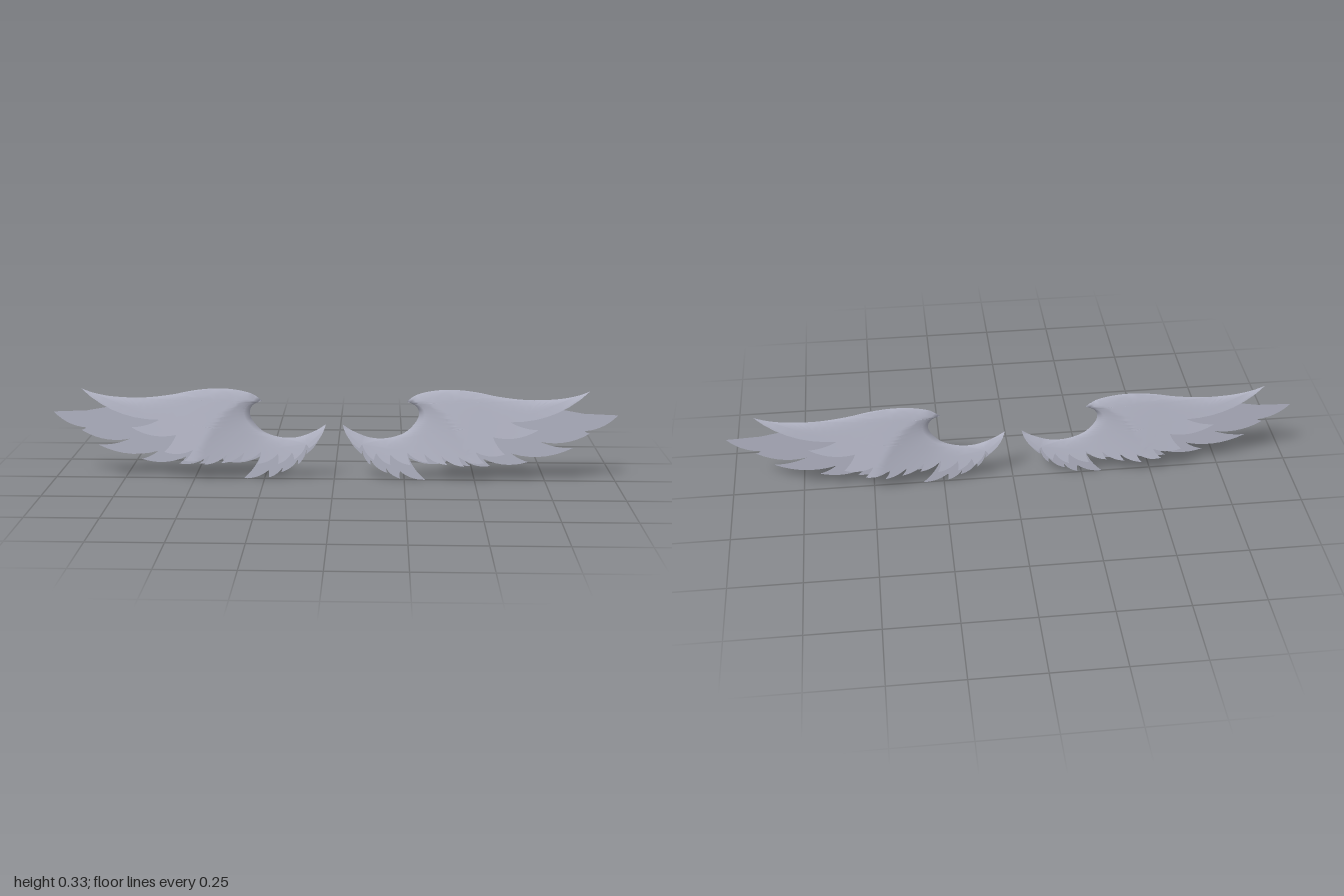
import * as THREE from 'three';
import { mergeVertices } from 'three/addons/utils/BufferGeometryUtils.js';

const V = (x, y) => new THREE.Vector2(x, y);
const spline = (pts, n) => new THREE.SplineCurve(pts.map(p => V(...p))).getPoints(n);

// Leading edge: root, concave hollow up to the hook, then over the top to the wing tip
const hollow = spline([[0.03, 0.205], [0.07, 0.18], [0.13, 0.158], [0.19, 0.157], [0.25, 0.177],
  [0.288, 0.215], [0.3, 0.248], [0.287, 0.275], [0.256, 0.289]], 36);
const crest = spline([[0.256, 0.289], [0.29, 0.314], [0.35, 0.329], [0.42, 0.333], [0.5, 0.325],
  [0.58, 0.309], [0.68, 0.298], [0.78, 0.301], [0.85, 0.313], [0.898, 0.33]], 36);
const leading = [...hollow, ...crest.slice(1)];

// Points alternate tip, notch, tip, notch ... from the wing tip to the root
const coverFeathers = [[0.898, 0.33], [0.62, 0.222], [0.72, 0.195], [0.56, 0.17], [0.602, 0.11],
  [0.5, 0.118], [0.53, 0.08], [0.44, 0.1], [0.46, 0.066], [0.38, 0.1], [0.4, 0.07], [0.32, 0.105],
  [0.335, 0.075], [0.26, 0.108], [0.272, 0.065], [0.2, 0.1], [0.2, 0.064], [0.15, 0.105],
  [0.142, 0.08], [0.1, 0.135], [0.09, 0.12], [0.03, 0.205]];
const flightFeathers = [[1, 0.245], [0.885, 0.187], [0.903, 0.178], [0.73, 0.147], [0.845, 0.125],
  [0.63, 0.103], [0.69, 0.073], [0.53, 0.083], [0.556, 0.057], [0.465, 0.075], [0.485, 0.057],
  [0.405, 0.082], [0.395, 0.068], [0.265, 0.085], [0.325, 0.004], [0.235, 0.035], [0.235, 0.008],
  [0.185, 0.045], [0.19, 0.028], [0.13, 0.075], [0.13, 0.057], [0.1, 0.11], [0.1, 0.095], [0.04, 0.195]];
// Upper border of the flight feathers, hidden between the covers
const hiddenEdge = [[0.07, 0.172], [0.13, 0.15], [0.2, 0.148], [0.27, 0.17], [0.4, 0.22],
  [0.6, 0.26], [0.78, 0.268], [0.88, 0.25]].map(p => V(...p));

// Curved feather edges: full below each tip, slightly hollow above it
function featherEdge(pts) {
  const out = [];
  for (let i = 0; i < pts.length - 1; i++) {
    const a = V(...pts[i]), b = V(...pts[i + 1]);
    const bow = i % 2 === 0 ? 0.2 : -0.12;
    const c = V((a.x + b.x) / 2 - (b.y - a.y) * bow, (a.y + b.y) / 2 + (b.x - a.x) * bow);
    out.push(...new THREE.QuadraticBezierCurve(a, c, b).getPoints(7).slice(1));
  }
  return out;
}

// Distance from a point to the leading edge
function distanceToLeading(p) {
  let best = Infinity;
  for (let i = 0; i < leading.length - 1; i++) {
    const a = leading[i], d = leading[i + 1].clone().sub(a);
    const t = THREE.MathUtils.clamp(p.clone().sub(a).dot(d) / d.lengthSq(), 0, 1);
    best = Math.min(best, p.distanceTo(a.clone().addScaledVector(d, t)));
  }
  return best;
}

// The covers flare away from the middle plane the further they are from the leading edge
function flare(p) {
  const d = distanceToLeading(p);
  return d < 1e-6 ? 0 : 0.19 * d + 0.006 * (1 - Math.exp(-d / 0.012));
}

// Fill an outline with triangles, halving every edge that is too long
function fillOutline(points, maxEdge) {
  const flat = new THREE.ShapeGeometry(new THREE.Shape(points));
  const pos = flat.attributes.position, index = flat.index.array;
  const stack = [], done = [];
  for (let i = 0; i < index.length; i += 3) {
    stack.push([0, 1, 2].map(k => V(pos.getX(index[i + k]), pos.getY(index[i + k]))));
  }
  while (stack.length) {
    const t = stack.pop();
    const len = [0, 1, 2].map(k => t[k].distanceTo(t[(k + 1) % 3]));
    const k = len.indexOf(Math.max(...len));
    if (len[k] <= maxEdge) { done.push(t); continue; }
    const a = t[k], b = t[(k + 1) % 3], c = t[(k + 2) % 3];
    const m = V((a.x + b.x) / 2, (a.y + b.y) / 2);
    stack.push([a, m, c], [m, b, c]);
  }
  return done;
}

// Turn triangles into one smooth geometry; side gives the x mirror, faces the z signs
function sheet(triangles, side, faces, depth) {
  const data = [];
  for (const f of faces) {
    for (const t of triangles) {
      const order = side * f > 0 ? t : [t[0], t[2], t[1]];
      for (const p of order) data.push(side * p.x, p.y, f * depth(p));
    }
  }
  const g = new THREE.BufferGeometry();
  g.setAttribute('position', new THREE.Float32BufferAttribute(data, 3));
  const merged = mergeVertices(g, 1e-5);
  merged.computeVertexNormals();
  return merged;
}

export function createModel() {
  const model = new THREE.Group();
  model.name = 'wings';
  const grey = new THREE.MeshStandardMaterial({ color: 0xb4b6c6 });
  grey.name = 'feather grey';
  grey.side = THREE.DoubleSide;

  const coverOutline = [...leading, ...featherEdge(coverFeathers).slice(0, -1)];
  const flightOutline = [V(0.04, 0.195), ...hiddenEdge, V(1, 0.245),
    ...featherEdge(flightFeathers).slice(0, -1)];
  const cover = fillOutline(coverOutline, 0.025);
  const flight = fillOutline(flightOutline, 0.5);

  for (const side of [1, -1]) {
    const wing = new THREE.Group();
    wing.name = side > 0 ? 'leftWing' : 'rightWing';
    // Front and back covers joined along the leading edge
    const coverMesh = new THREE.Mesh(sheet(cover, side, [1, -1], flare), grey);
    coverMesh.name = 'coverFeathers';
    // Flat flight feathers in the middle plane
    const flightMesh = new THREE.Mesh(sheet(flight, side, [1], () => 0), grey);
    flightMesh.name = 'flightFeathers';
    wing.add(coverMesh, flightMesh);
    model.add(wing);
  }
  return model;
}
